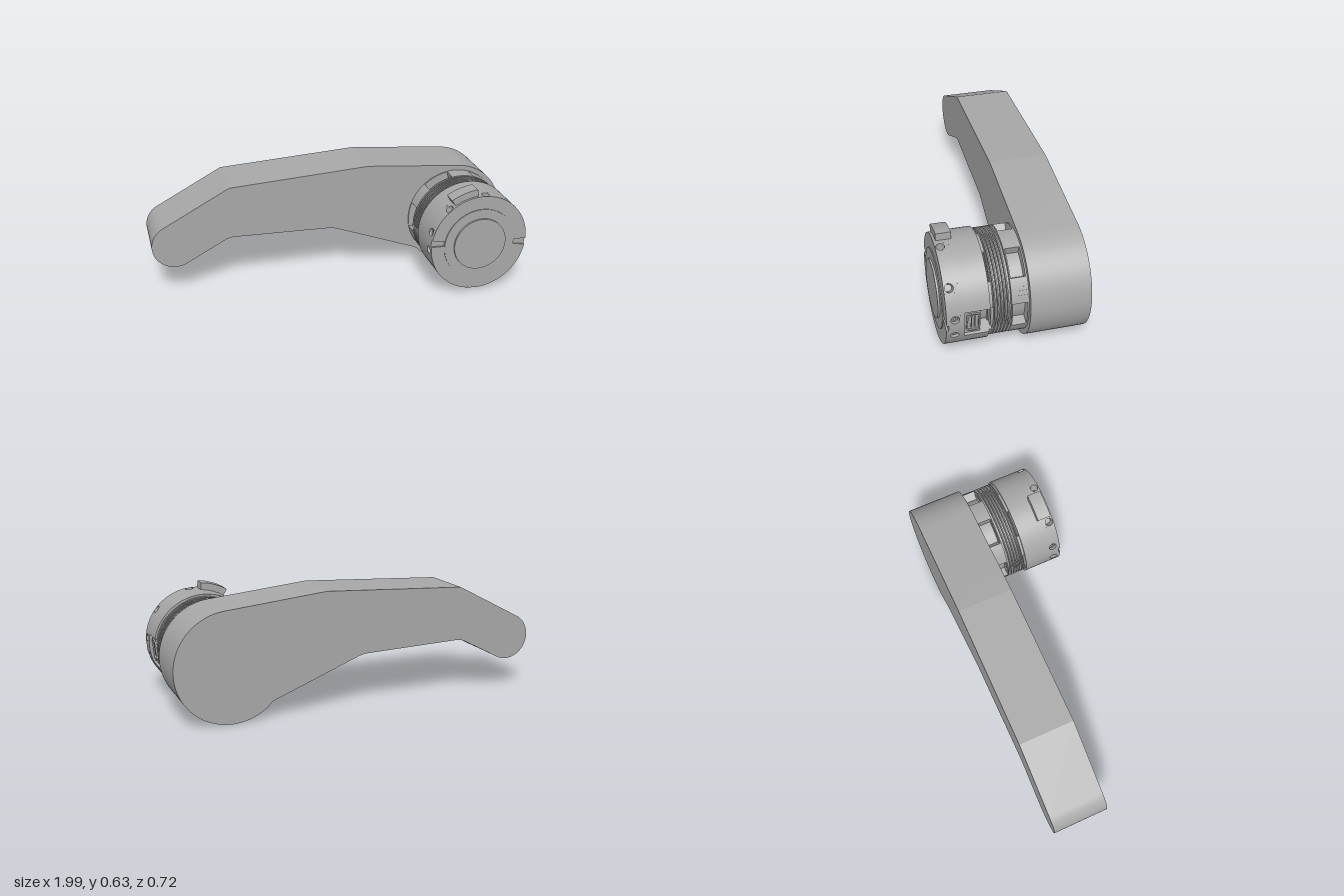
import * as THREE from 'three';
import { toCreasedNormals } from 'three/addons/utils/BufferGeometryUtils.js';

const rad = THREE.MathUtils.degToRad;
const R = 0.273;        // head radius
const COLLAR = 0.263;   // collar and fin radius

export function createModel() {
  const metal = new THREE.MeshStandardMaterial({ color: 0xa8a8a8 });
  metal.name = 'plain grey';

  const model = new THREE.Group();
  model.name = 'handleWithCoupling';
  const head = new THREE.Group();
  head.name = 'coupling';
  head.position.set(0.705, 0.29, 0);
  model.add(head);

  const add = (name, geometry, parent = head) => {
    const mesh = new THREE.Mesh(geometry, metal);
    mesh.name = name;
    parent.add(mesh);
    return mesh;
  };
  const extrude = (shape, z0, z1, crease = 0.5, curveSegments = 16) => {
    const g = new THREE.ExtrudeGeometry(shape, { depth: z1 - z0, bevelEnabled: false, curveSegments });
    g.translate(0, 0, z0);
    return toCreasedNormals(g, crease);
  };

  // Disc along z; notches are [centre angle, half angle, inner radius] in degrees
  const disc = (name, r, z0, z1, notches = []) => {
    const angles = [];
    for (let a = 0; a < 360; a += 3) angles.push(a);
    for (const [c, h] of notches)
      for (const e of [c - h, c + h]) angles.push((e - 0.013 + 360) % 360, (e + 0.013 + 360) % 360);
    angles.sort((a, b) => a - b);
    const points = angles.map((a) => {
      const n = notches.find(([c, h]) => Math.abs(((a - c + 540) % 360) - 180) < h);
      const q = n ? n[2] : r;
      return new THREE.Vector2(q * Math.cos(rad(a)), q * Math.sin(rad(a)));
    });
    return add(name, extrude(new THREE.Shape(points), z0, z1));
  };

  const roundedRect = (w, h, r, Kind = THREE.Shape) => {
    const s = new Kind();
    s.absarc(w / 2 - r, h / 2 - r, r, 0, Math.PI / 2);
    s.absarc(r - w / 2, h / 2 - r, r, Math.PI / 2, Math.PI);
    s.absarc(r - w / 2, r - h / 2, r, Math.PI, Math.PI * 1.5);
    s.absarc(w / 2 - r, r - h / 2, r, Math.PI * 1.5, Math.PI * 2);
    s.closePath();
    return s;
  };

  // Cranked handle
  const arm = new THREE.Shape();
  arm.moveTo(-0.57, 0.592);
  arm.lineTo(-0.934, 0.4);
  arm.absarc(-0.875, 0.29, 0.125, rad(118), rad(300), false);
  arm.lineTo(-0.61, 0.288);
  arm.quadraticCurveTo(-0.585, 0.302, -0.55, 0.302);
  arm.lineTo(-0.03, 0.286);
  arm.quadraticCurveTo(0, 0.285, 0.03, 0.273);
  arm.lineTo(0.48, 0.099);
  arm.quadraticCurveTo(0.505, 0.088, 0.519, 0.068);
  arm.absarc(0.705, 0.29, 0.29, rad(230), rad(444.5), false);
  arm.lineTo(0.2, 0.632);
  arm.closePath();
  add('handle', extrude(arm, -0.357, -0.057, 0.1, 40), model);

  // Collar with six pockets
  const pockets = [0, 1, 2, 3, 4, 5].map((i) => [55 + 60 * i, 16, 0.215]);
  disc('collarBack', COLLAR, -0.06, -0.05);
  disc('collar', COLLAR, -0.05, 0.022, pockets);
  disc('collarFront', COLLAR, 0.022, 0.028);
  for (const a of [20, 25, 29]) {
    const mark = add('scaleMark', new THREE.BoxGeometry(0.002, 0.0015, 0.042));
    mark.position.set(COLLAR * Math.cos(rad(a)), COLLAR * Math.sin(rad(a)), -0.028);
    mark.rotation.z = rad(a);
  }

  // Bellows
  disc('bellowsCore', 0.243, 0.02, 0.125);
  for (let i = 0; i < 5; i++) disc('bellowsFin', COLLAR, 0.04 + 0.0162 * i, 0.0465 + 0.0162 * i);
  disc('headRimFront', COLLAR, 0.118, 0.123, [[-5, 16, 0.244]]);
  disc('headRim', COLLAR, 0.123, 0.133, pockets);

  // Head, with side slot, screw holes and front slots
  const holes = [
    ...[39, 84, 129, 219, 264, 309].map((a) => ({ a, z: 0.317, screw: false })),
    ...[-17, 5, 163, 185].map((a) => ({ a, z: 0.302, screw: true })),
  ];
  const floor = R - 0.05;
  const holeNotches = holes.map(({ a }) => [a, 5, floor]);
  disc('headBody', R, 0.133, 0.255, [[-5, 16.5, 0.2]]);
  disc('headBand', R, 0.255, 0.275);
  disc('headHoleBand', R, 0.275, 0.333, holeNotches);
  disc('headFace', R, 0.333, 0.343, [...holeNotches, [-5, 4, 0.2], [174, 4, 0.2]]);
  disc('faceStep', 0.2, 0.343, 0.348);
  disc('faceCap', 0.147, 0.348, 0.358);

  // Curved patches with a round hole, and socket screws in some of them
  for (const { a, z, screw } of holes) {
    const w = R * rad(5);
    const s = new THREE.Shape();
    s.moveTo(-w, 0.275);
    s.lineTo(w, 0.275);
    s.lineTo(w, 0.343);
    s.lineTo(-w, 0.343);
    s.closePath();
    s.holes.push(new THREE.Path().absarc(0, z, 0.021, 0, Math.PI * 2, true));
    const g = extrude(s, floor, R);
    const p = g.attributes.position;
    for (let i = 0; i < p.count; i++) {
      const t = p.getX(i) / R + rad(a), v = p.getY(i), q = p.getZ(i);
      p.setXYZ(i, q * Math.cos(t), q * Math.sin(t), v);
    }
    add('screwHole', toCreasedNormals(g, 0.5));
    if (!screw) continue;
    const ring = new THREE.Shape().absarc(0, 0, 0.016, 0, Math.PI * 2);
    const hex = [0, 1, 2, 3, 4, 5].map((i) =>
      new THREE.Vector2(0.009 * Math.cos(-i * Math.PI / 3), 0.009 * Math.sin(-i * Math.PI / 3)));
    ring.holes.push(new THREE.Path(hex));
    const sg = extrude(ring, floor, 0.262);
    sg.rotateY(Math.PI / 2).rotateZ(rad(a)).translate(0, 0, z);
    add('socketScrew', sg);
  }

  // Raised tab on top of the head
  const tab = new THREE.Shape();
  tab.absarc(0, 0, 0.311, rad(94), rad(122), false);
  tab.absarc(0, 0, 0.265, rad(122), rad(94), true);
  tab.closePath();
  add('topTab', extrude(tab, 0.255, 0.33));

  // Connector seated in the side slot
  const connector = new THREE.Group();
  connector.name = 'connector';
  connector.rotation.z = rad(-5);
  head.add(connector);
  const block = add('connectorBlock', new THREE.BoxGeometry(0.045, 0.143, 0.08), connector);
  block.position.set(0.2275, 0, 0.216);
  const frame = roundedRect(0.064, 0.112, 0.016);
  frame.holes.push(roundedRect(0.05, 0.098, 0.011, THREE.Path));
  add('connectorFrame', extrude(frame, 0.249, 0.258).rotateY(Math.PI / 2).translate(0, 0, 0.212), connector);
  for (const z of [0.204, 0.22]) {
    const blade = add('connectorBlade', new THREE.BoxGeometry(0.006, 0.075, 0.005), connector);
    blade.position.set(0.252, 0, z);
  }
  return model;
}
